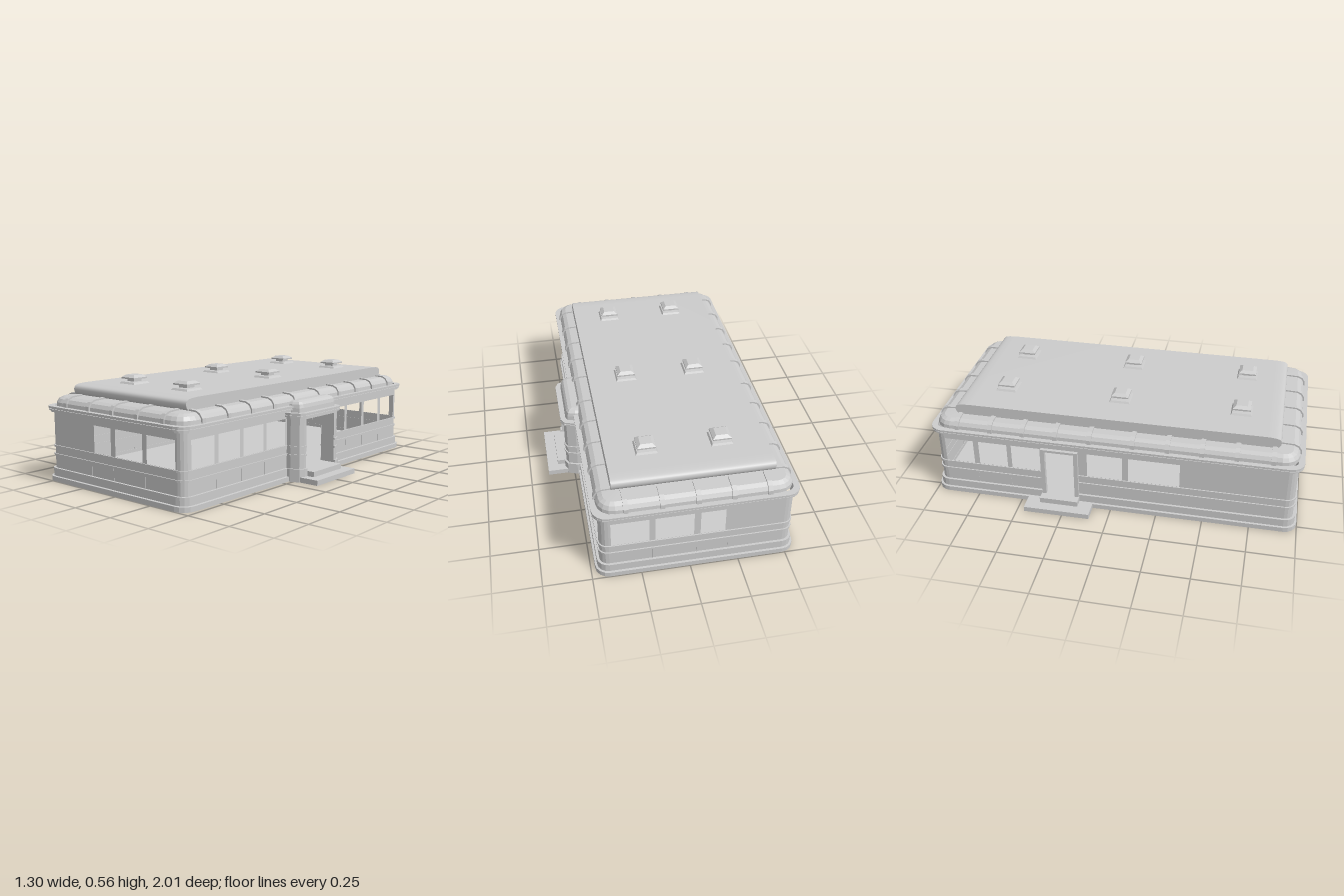
import * as THREE from 'three';

const CX = -0.038, HW = 0.492, HD = 0.974, R = 0.045;  // body centre, half sizes, corner radius
const DOOR = { z: -0.28, half: 0.08 };                 // side door on -x
const PORCH = 0.13;                                    // half width of porch opening on +x
const WIN = [0.195, 0.337];                            // window sill and head heights

export function createModel() {
  const model = new THREE.Group();
  const mat = new THREE.MeshStandardMaterial({ color: 0xcccccc, flatShading: true, side: THREE.DoubleSide });
  const smooth = new THREE.MeshStandardMaterial({ color: 0xcccccc, side: THREE.DoubleSide });
  const add = (name, geo, x = 0, y = 0, z = 0, material = mat) => {
    const m = new THREE.Mesh(geo, material);
    m.name = name;
    m.position.set(x, y, z);
    model.add(m);
    return m;
  };
  // box given by its min and max corners
  const box = (name, x0, x1, y0, y1, z0, z1) =>
    add(name, new THREE.BoxGeometry(x1 - x0, y1 - y0, z1 - z0), (x0 + x1) / 2, (y0 + y1) / 2, (z0 + z1) / 2);

  // rounded footprint of the body, grown by off
  const outline = (off, r = Math.max(0.012, R + off)) => {
    const pts = [];
    [[1, 1], [-1, 1], [-1, -1], [1, -1]].forEach(([sx, sz], c) => {
      for (let i = 0; i <= 4; i++) {
        const a = (c + i / 4) * Math.PI / 2;
        pts.push([CX + sx * (HW + off - r) + r * Math.cos(a), sz * (HD + off - r) + r * Math.sin(a)]);
      }
    });
    return pts;
  };
  const vectors = (pts) => pts.map(p => new THREE.Vector2(...p));
  // upright prism from a plan of [x, z] points
  const prism = (name, pts, y0, y1, hole) => {
    const shape = new THREE.Shape(vectors(pts));
    if (hole) shape.holes.push(new THREE.Path(vectors(hole)));
    const g = new THREE.ExtrudeGeometry(shape, { depth: y1 - y0, bevelEnabled: false });
    return add(name, g.rotateX(Math.PI / 2), 0, y1, 0);
  };
  // moulding round the body, broken at the two doorways
  const moulding = (name, off, y0, y1) => {
    const path = (o, front) => {
      const p = outline(o), xr = CX + HW + o, xl = CX - HW - o;
      return front
        ? [[xr, PORCH], ...p.slice(0, 10), [xl, DOOR.z + DOOR.half]]
        : [[xl, DOOR.z - DOOR.half], ...p.slice(10), [xr, -PORCH]];
    };
    for (const f of [true, false]) prism(name, [...path(off, f), ...path(-0.002, f).reverse()], y0, y1);
  };
  // skin through rings of [x, z] points at given heights, closed at the top if asked
  const loft = (name, rings, ys, capped) => {
    const n = rings[0].length, pos = [], idx = [];
    rings.forEach((ring, k) => ring.forEach(([x, z]) => pos.push(x, ys[k], z)));
    for (let k = 0; k < rings.length - 1; k++) for (let i = 0; i < n; i++) {
      const a = k * n + i, b = k * n + (i + 1) % n;
      idx.push(a, a + n, b, b, a + n, b + n);
    }
    const top = (rings.length - 1) * n;
    if (capped) for (let i = 1; i < n - 1; i++) idx.push(top, top + i + 1, top + i);
    const g = new THREE.BufferGeometry();
    g.setAttribute('position', new THREE.Float32BufferAttribute(pos, 3));
    g.setIndex(idx);
    const flat = g.toNonIndexed();
    flat.computeVertexNormals();
    return add(name, flat);
  };
  // thin straight wall along u with rectangular openings [u0, u1, y0, y1]
  const wall = (name, u0, u1, holes) => {
    const rect = (a, b, c, d) => vectors([[a, c], [b, c], [b, d], [a, d]]);
    const s = new THREE.Shape(rect(u0, u1, 0.028, 0.4));
    holes.forEach(h => s.holes.push(new THREE.Path(rect(...h))));
    return add(name, new THREE.ShapeGeometry(s));
  };
  const windows = (list) => list.map(([a, b]) => [a, b, ...WIN]);

  // thin raised floor inside an open base skirt, and plinth
  prism('floor', outline(-0.001), 0.047, 0.05);
  loft('plinthBase', [0.024, 0.024, 0].map(o => outline(o)), [0, 0.026, 0.028]);
  moulding('plinth', 0.013, 0.028, 0.07);

  // walls with window and door openings
  const end = windows([[-0.18, -0.053], [-0.02, 0.175], [0.205, 0.397]]);
  wall('frontWall', CX - HW + R, CX + HW - R, end).position.z = HD;
  wall('backWall', CX - HW + R, CX + HW - R, end).position.z = -HD;
  const half = [[0.205, 0.365], [0.39, 0.55], [0.575, 0.735], [0.765, 0.925]];
  const leftWall = wall('leftWall', -HD + R, HD - R, [
    ...windows(half), ...windows(half.map(([a, b]) => [-b, -a])), [-PORCH, PORCH, 0.05, WIN[1]]]);
  leftWall.position.x = CX + HW;
  const rightWall = wall('rightWall', -HD + R, HD - R, [
    ...windows([[-0.925, -0.765], [-0.735, -0.575], [-0.55, -0.39], [-0.13, 0.062], [0.095, 0.37]]),
    [DOOR.z - DOOR.half, DOOR.z + DOOR.half, 0.05, WIN[1]]]);
  rightWall.position.x = CX - HW;
  leftWall.rotation.y = rightWall.rotation.y = -Math.PI / 2;

  // rounded wall corners
  [[1, 1], [1, -1], [-1, -1], [-1, 1]].forEach(([sx, sz], i) =>
    add('wallCorner', new THREE.CylinderGeometry(R, R, 0.372, 4, 1, true, i * Math.PI / 2, Math.PI / 2),
      CX + sx * (HW - R), 0.214, sz * (HD - R)));

  // belt rails
  moulding('lowerRail', 0.007, 0.138, 0.148);
  moulding('sillRail', 0.007, 0.184, 0.194);

  // panel seams on the lower walls
  const e = 0.002;
  for (const z of [-0.75, -0.5625, -0.38, 0.38, 0.5625, 0.75])
    for (const s of [-1, 1]) {
      const x = CX + s * HW;
      box('panelSeam', x - e, x + e, 0.07, 0.14, z - e, z + e);
    }
  for (const x of [-0.2, -0.036, 0.19])
    for (const s of [-1, 1]) box('panelSeam', x - e, x + e, 0.07, 0.14, s * HD - e, s * HD + e);

  // cornice and coved lower roof, hollow inside
  const inner = outline(-0.003);
  prism('corniceLower', outline(0.018), 0.374, 0.383, inner);
  prism('corniceMiddle', outline(0.027), 0.383, 0.391, inner);
  prism('corniceGroove', outline(0.02), 0.391, 0.395, inner);
  prism('corniceUpper', outline(0.029), 0.395, 0.406, inner);
  const cove = [[0.002, 0.405], [0, 0.425], [-0.012, 0.444], [-0.034, 0.455], [-0.115, 0.459]];
  loft('lowerRoof', cove.map(([o]) => outline(o, Math.max(0.03, 0.085 + o))), cove.map(c => c[1]));

  // ribs following the cove
  const ribShape = new THREE.Shape(vectors([
    [0.009, 0.402], [0.008, 0.429], [-0.007, 0.452], [-0.032, 0.463], [-0.1, 0.466], [-0.1, 0.455],
    [-0.034, 0.453], [-0.014, 0.442], [-0.002, 0.425], [0, 0.402],
  ]));
  const ribGeo = new THREE.ExtrudeGeometry(ribShape, { depth: 0.024, bevelEnabled: false }).translate(0, 0, -0.012);
  const rib = (x, z, turn) => { add('roofRib', ribGeo, x, 0, z).rotation.y = turn; };
  for (const z of [0.115, 0.3, 0.48, 0.66, 0.845]) for (const s of [-1, 1]) {
    rib(CX + HW, s * z, 0);
    rib(CX - HW, s * z, Math.PI);
  }
  for (let i = -2; i <= 2; i++) {
    rib(CX + i * 0.179, HD, -Math.PI / 2);
    rib(CX + i * 0.179, -HD, Math.PI / 2);
  }

  // raised upper roof: a sheet with smoothly rolled front and back eaves, and flat side panels
  const eave = new THREE.Shape();
  eave.moveTo(0.85, 0.455);
  eave.bezierCurveTo(0.872, 0.46, 0.88, 0.485, 0.872, 0.5);
  eave.bezierCurveTo(0.864, 0.514, 0.84, 0.515, 0.8, 0.517);
  const rolled = eave.getPoints(8);
  const profile = [...rolled, ...rolled.map(p => new THREE.Vector2(-p.x, p.y)).reverse()];
  const sheet = new THREE.PlaneGeometry(0.827, 1, 1, profile.length - 1);
  for (let i = 0; i < sheet.attributes.position.count; i++) {
    const p = profile[Math.floor(i / 2)];
    sheet.attributes.position.setY(i, p.y).setZ(i, p.x);
  }
  sheet.computeVertexNormals();
  // the plane's rows run front to back, so its faces are turned outwards
  sheet.index.array.reverse();
  sheet.computeVertexNormals();
  add('upperRoof', sheet, CX, 0, 0, smooth);
  for (const s of [-1, 1])
    add('upperRoofSide', new THREE.ShapeGeometry(new THREE.Shape(profile)), CX + s * 0.4135).rotation.y = -Math.PI / 2;

  // roof vents
  const square = (x, z, h) => [[x + h, z + h], [x - h, z + h], [x - h, z - h], [x + h, z - h]];
  for (const x of [-0.22, 0.167]) for (const z of [-0.645, -0.005, 0.653])
    loft('roofVent', [0.058, 0.05, 0.027, 0.027, 0.048, 0.048, 0.03].map(h => square(x, z, h)),
      [0.515, 0.527, 0.529, 0.543, 0.543, 0.551, 0.564], true);

  // entrance porch plan corner, grown by o
  const porchCorner = (o) => [[0.539 + o, 0.147 + o / 2], [0.527 + o * 0.8, 0.175 + o * 0.75], [0.48 + o * 0.3, 0.191 + o]];
  // chamfered side columns with plinth and rails
  const porchSide = (name, o, y0, y1) => {
    for (const s of [-1, 1])
      prism(name, [[0.539 + o, PORCH], ...porchCorner(o), [0.455, 0.191 + o], [0.455, PORCH]]
        .map(([x, z]) => [x, s * z]), y0, y1);
  };
  porchSide('porchColumn', 0, 0, 0.35);
  porchSide('porchPlinth', 0.01, 0, 0.07);
  porchSide('porchRail', 0.006, 0.138, 0.148);
  porchSide('porchRail', 0.006, 0.184, 0.194);
  const porchPlan = (o) => {
    const c = [...porchCorner(o), [0.44, 0.191 + o]];
    return [...c, ...c.map(([x, z]) => [x, -z]).reverse()].reverse();
  };
  prism('porchCornice', porchPlan(0.004), WIN[1], 0.348);
  prism('porchCornice', porchPlan(0.016), 0.348, 0.358);
  prism('porchCornice', porchPlan(0.01), 0.358, 0.362);
  prism('porchCornice', porchPlan(0.016), 0.362, 0.372);
  loft('porchRoof', [-0.012, -0.014, -0.019, -0.03, -0.05].map(o => porchPlan(o).reverse()),
    [0.372, 0.395, 0.414, 0.426, 0.432], true);
  box('porchStep', 0.48, 0.648, 0, 0.028, -0.18, 0.18);
  box('porchStep', 0.45, 0.59, 0.028, 0.056, -PORCH, PORCH);

  // side door surround and steps
  const d0 = DOOR.z - DOOR.half, d1 = DOOR.z + DOOR.half;
  box('doorJamb', -0.549, -0.525, 0.03, 0.345, d0 - 0.022, d0);
  box('doorJamb', -0.549, -0.525, 0.03, 0.345, d1, d1 + 0.022);
  box('doorHead', -0.549, -0.525, WIN[1] - 0.005, 0.345, d0, d1);
  box('doorStep', -0.652, -0.55, 0, 0.028, DOOR.z - 0.18, DOOR.z + 0.18);
  box('doorStep', -0.595, -0.53, 0.028, 0.058, DOOR.z - 0.105, DOOR.z + 0.105);
  return model;
}
